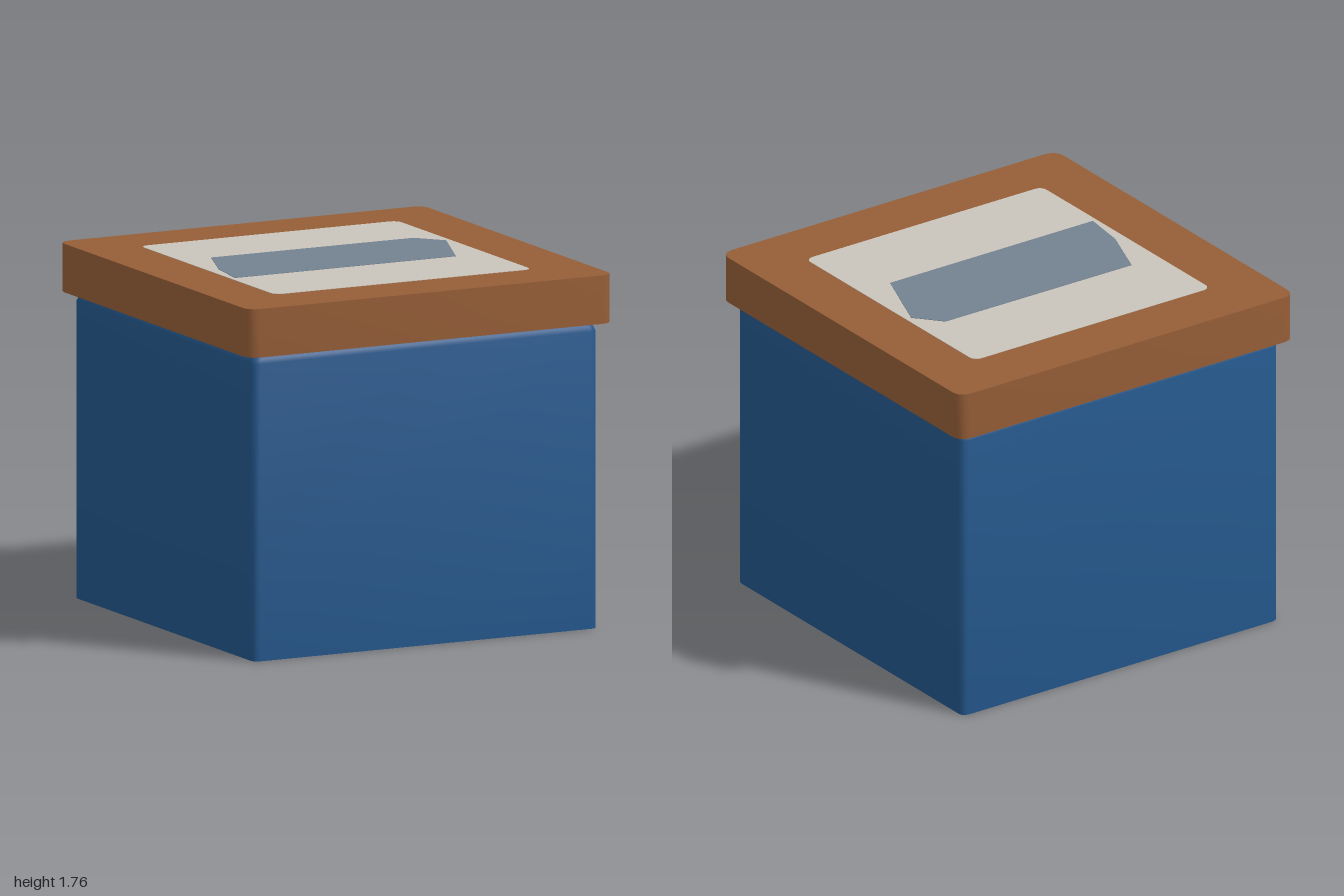
import * as THREE from 'three';
import { toCreasedNormals } from 'three/addons/utils/BufferGeometryUtils.js';

const mat = (name, color, side = THREE.FrontSide) => {
  const m = new THREE.MeshStandardMaterial({ color, side });
  m.name = name;
  return m;
};

// Rounded square outline, counter-clockwise, as a list of points
function roundedSquare(half, radius, steps) {
  const points = [];
  for (let corner = 0; corner < 4; corner++) {
    const start = corner * Math.PI / 2;
    const mid = start + Math.PI / 4;
    const cx = Math.sign(Math.cos(mid)) * (half - radius);
    const cy = Math.sign(Math.sin(mid)) * (half - radius);
    for (let k = 0; k <= steps; k++) {
      const a = start + (k / steps) * Math.PI / 2;
      points.push(new THREE.Vector2(cx + radius * Math.cos(a), cy + radius * Math.sin(a)));
    }
  }
  return points;
}

// Horizontal slab standing on y = 0
function slab(points, height) {
  const geo = new THREE.ExtrudeGeometry(new THREE.Shape(points), { depth: height, bevelEnabled: false });
  geo.rotateX(-Math.PI / 2);
  return toCreasedNormals(geo, 0.6);
}

// Open-bottomed shell through rings of [half width, corner radius, y], closed at the top
function shell(rings) {
  const position = [], index = [];
  let n = 0;
  for (const [half, radius, y] of rings) {
    const outline = roundedSquare(half, radius, 3);
    n = outline.length;
    for (const p of outline) position.push(p.x, y, -p.y);
  }
  for (let r = 0; r < rings.length - 1; r++) {
    for (let i = 0; i < n; i++) {
      const a = r * n + i, b = r * n + (i + 1) % n;
      index.push(a, b, b + n, a, b + n, a + n);
    }
  }
  const last = (rings.length - 1) * n;
  for (let i = 1; i < n - 1; i++) index.push(last, last + i, last + i + 1);
  const geo = new THREE.BufferGeometry();
  geo.setAttribute('position', new THREE.Float32BufferAttribute(position, 3));
  geo.setIndex(index);
  return toCreasedNormals(geo, 0.75);
}

export function createModel() {
  const blue = mat('blue', 0x23568a, THREE.DoubleSide);
  const brown = mat('brown', 0x965e37);
  const cream = mat('cream', 0xcac5bb);
  const slate = mat('slate', 0x748290);

  const model = new THREE.Group();
  model.name = 'liddedBox';
  const add = (name, geo, material, y = 0) => {
    const mesh = new THREE.Mesh(geo, material);
    mesh.name = name;
    mesh.position.y = y;
    model.add(mesh);
  };

  // Hollow body with softened top edges
  add('body', shell([
    [0.943, 0.035, 0], [0.943, 0.035, 1.47], [0.936, 0.035, 1.49], [0.92, 0.035, 1.512],
  ]), blue);

  // Overhanging lid
  add('lid', slab(roundedSquare(1, 0.06, 3), 0.24), brown, 1.515);

  // Painted panel and its angular patch on the lid
  add('lidPanel', slab(roundedSquare(0.705, 0.04, 4), 0.002), cream, 1.755);
  const patch = [
    [-0.68, 0.243], [0.53, 0.243], [0.676, -0.136],
    [0.565, -0.268], [-0.543, -0.273], [-0.65, 0.013],
  ].map(([x, z]) => new THREE.Vector2(x, -z));
  add('lidPatch', slab(patch, 0.002), slate, 1.757);

  return model;
}
